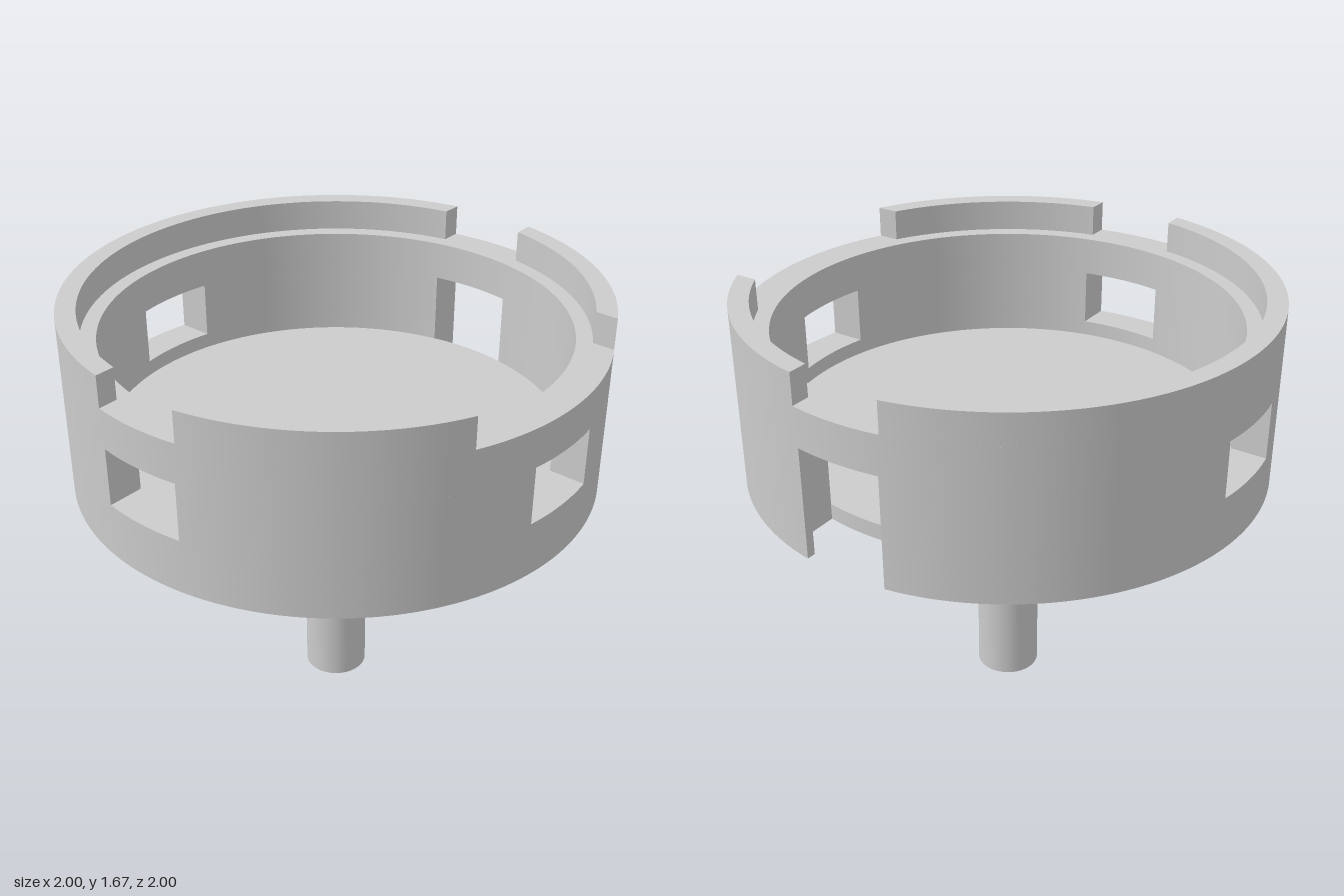
import * as THREE from 'three';
import { toCreasedNormals } from 'three/addons/utils/BufferGeometryUtils.js';

const OUTER = 1;
const BACK = Math.PI / 2, LEFT = Math.PI, FRONT = 1.5 * Math.PI;

// A gap is a straight-sided cut centred on an angle, between two sideways offsets.
const gap = (angle, lo, hi = -lo) => ({ angle, lo, hi });

// Ring layer between two heights, interrupted by the gaps.
function ringLayer(inner, y0, y1, gaps, material) {
  const shapes = [];
  if (gaps.length === 0) {
    const s = new THREE.Shape().absarc(0, 0, OUTER, 0, Math.PI * 2, false);
    s.holes.push(new THREE.Path().absarc(0, 0, inner, 0, Math.PI * 2, true));
    shapes.push(s);
  }
  gaps.forEach((g, i) => {
    const last = i === gaps.length - 1;
    const n = gaps[(i + 1) % gaps.length];
    const endAngle = n.angle + (last ? Math.PI * 2 : 0);
    const start = (r) => g.angle + Math.asin(g.hi / r);
    const end = (r) => endAngle + Math.asin(n.lo / r);
    const s = new THREE.Shape();
    s.absarc(0, 0, OUTER, start(OUTER), end(OUTER), false);
    s.absarc(0, 0, inner, end(inner), start(inner), true);
    s.closePath();
    shapes.push(s);
  });
  const geo = new THREE.ExtrudeGeometry(shapes, {
    depth: y1 - y0, bevelEnabled: false, curveSegments: gaps.length > 1 ? 48 : 144,
  });
  geo.rotateX(-Math.PI / 2);
  geo.translate(0, y0, 0);
  return new THREE.Mesh(toCreasedNormals(geo, 0.5), material);
}

export function createModel() {
  const model = new THREE.Group();
  const material = new THREE.MeshStandardMaterial({ color: 0xcccccc });
  const add = (name, mesh) => { mesh.name = name; model.add(mesh); };

  // Cup wall, from the thin bottom rim to the notched lip
  const w = 0.165, slot = gap(BACK, -w);
  const windows = [0, BACK, LEFT, FRONT].map((a) => gap(a, -w));
  const notches = [gap(0, -0.41, 0.465), gap(BACK, -0.175), gap(FRONT, -0.175)];
  add('bottomRim', ringLayer(0.965, 0.97, 1.06, [slot], material));
  add('lowerWall', ringLayer(0.865, 1.06, 1.18, [slot], material));
  add('windowWall', ringLayer(0.865, 1.18, 1.4, windows, material));
  add('upperWall', ringLayer(0.865, 1.4, 1.55, [], material));
  add('notchedLip', ringLayer(0.925, 1.55, 1.67, notches, material));

  // Floor plate, raised above the bottom rim
  const floor = new THREE.Mesh(new THREE.CylinderGeometry(0.866, 0.866, 0.06, 144), material);
  floor.position.y = 1.09;
  add('floor', floor);

  // Stem with a blind bore in its lower end
  const profile = [[0, 0.6], [0.056, 0.6], [0.056, 0], [0.122, 0], [0.122, 1.07]]
    .map(([x, y]) => new THREE.Vector2(x, y));
  const stem = toCreasedNormals(new THREE.LatheGeometry(profile, 48), 0.5);
  add('stem', new THREE.Mesh(stem, material));

  return model;
}
